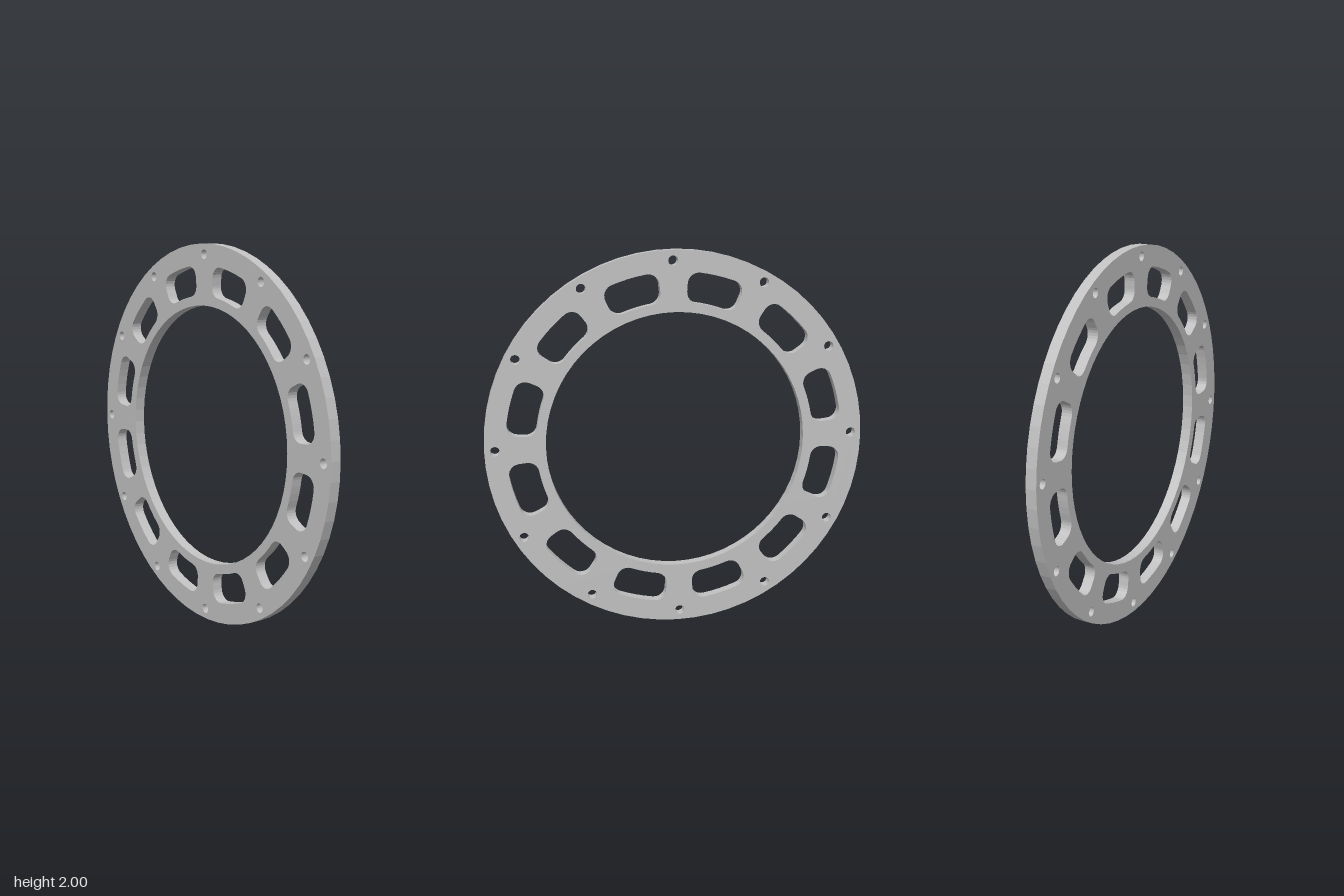
import * as THREE from 'three';

const COUNT = 12;          // bolt holes and slots around the ring
const TWIST = 0.016;       // small turn of the hole pattern
const THICK = 0.057;
const TILT = 0.0155;       // the ring leans slightly to one side

const polar = (r, a, cx = 0, cy = 0) =>
  new THREE.Vector2(cx + r * Math.cos(a), cy + r * Math.sin(a));

function circle(r, n, cx = 0, cy = 0) {
  return Array.from({ length: n }, (_, i) => polar(r, (i / n) * Math.PI * 2, cx, cy));
}

// Ring-sector slot with rounded corners, centred on angle `mid`
function slot(mid, ri = 0.733, ro = 0.89, half = 0.174, c = 0.058) {
  const rO = ro - c, rI = ri + c;
  const aO = half - Math.asin(c / rO), aI = half - Math.asin(c / rI);
  const pts = [];
  const corner = (r, a, from, to) => {
    const p = polar(r, mid + a);
    for (let i = 0; i <= 6; i++) {
      pts.push(polar(c, mid + from + ((to - from) * i) / 6, p.x, p.y));
    }
  };
  const arc = (r, from, to) => {
    for (let i = 1; i < 4; i++) pts.push(polar(r, mid + from + ((to - from) * i) / 4));
  };
  const q = Math.PI / 2;
  arc(ro, -aO, aO);
  corner(rO, aO, aO, half + q);
  corner(rI, aI, half + q, aI + 2 * q);
  arc(ri, aI, -aI);
  corner(rI, -aI, -aI - 2 * q, -half - q);
  corner(rO, -aO, -half - q, -aO);
  return pts;
}

export function createModel() {
  const grey = new THREE.MeshStandardMaterial({ color: 0xc0c0c0 });
  grey.name = 'metalGrey';

  // Flat ring with the central opening, bolt holes and slots
  const shape = new THREE.Shape(circle(1, 64));
  shape.holes.push(new THREE.Path(circle(0.683, 64)));
  const step = (Math.PI * 2) / COUNT;
  for (let i = 0; i < COUNT; i++) {
    const a = Math.PI / 2 + TWIST + i * step;
    const p = polar(0.945, a);
    shape.holes.push(new THREE.Path(circle(0.025, 20, p.x, p.y)));
    shape.holes.push(new THREE.Path(slot(a + step / 2)));
  }

  const geometry = new THREE.ExtrudeGeometry(shape, { depth: THICK, bevelEnabled: false });
  geometry.translate(0, 0, -THICK / 2);
  geometry.rotateY(Math.PI / 2);   // ring axis along x
  geometry.rotateZ(TILT);
  geometry.translate(0, 1, 0);

  const ring = new THREE.Mesh(geometry, grey);
  ring.name = 'slottedRing';

  const group = new THREE.Group();
  group.name = 'flangeRing';
  group.add(ring);
  return group;
}
